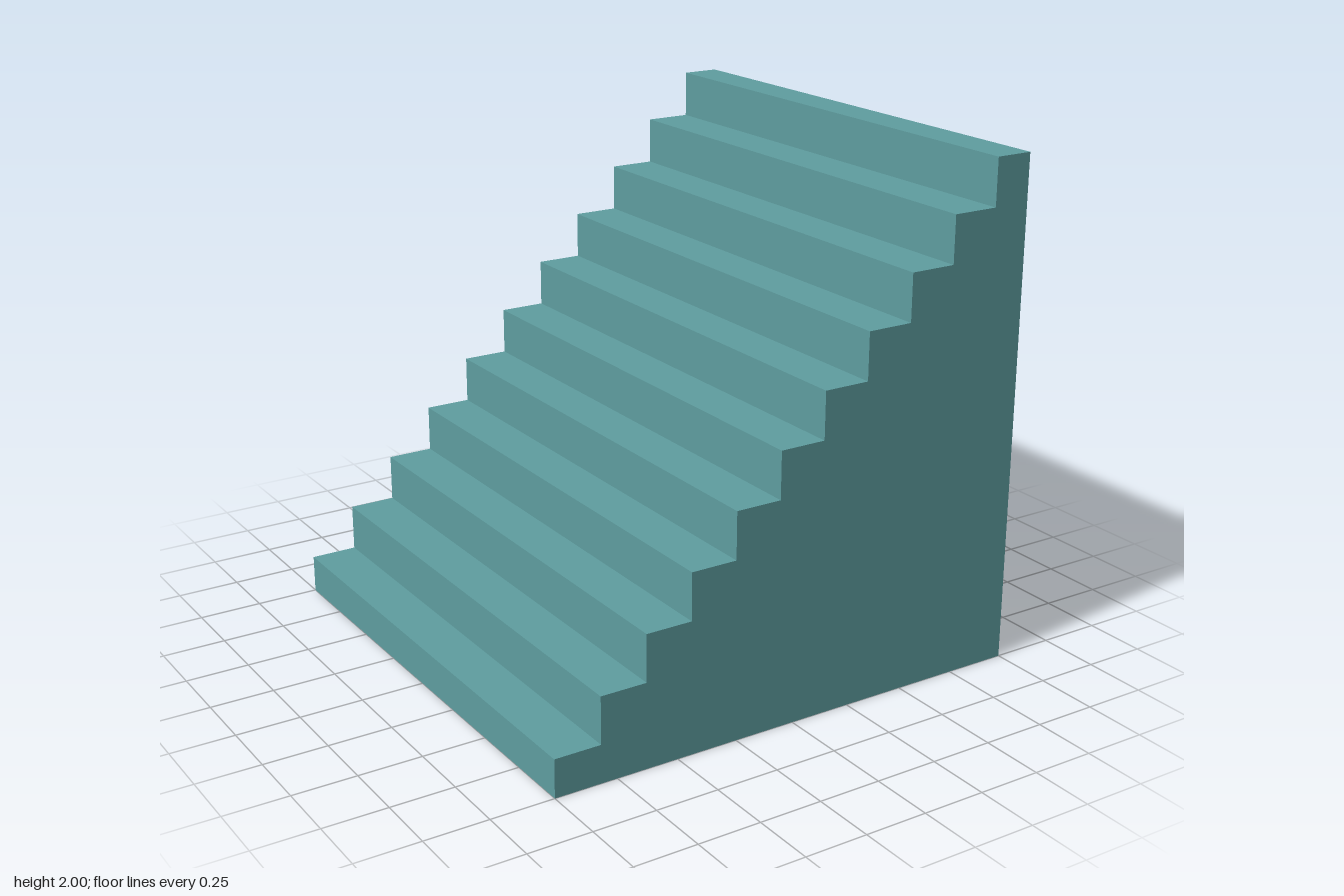
import * as THREE from 'three';

export function createModel() {
  const group = new THREE.Group();
  group.name = 'staircase';

  const steps = 11;
  const pitch = 0.185; // tread depth and riser height
  const first = 0.15;  // height of the lowest riser, depth of the top tread

  // Stepped side profile, rising towards +x
  const profile = new THREE.Shape();
  profile.moveTo(-1, 0);
  profile.lineTo(1, 0);
  profile.lineTo(1, 2);
  for (let i = steps - 1; i > 0; i--) {
    const x = -1 + i * pitch;
    profile.lineTo(x, first + i * pitch);
    profile.lineTo(x, first + (i - 1) * pitch);
  }
  profile.lineTo(-1, first);
  profile.closePath();

  // Solid flight of stairs, extruded across the full width
  const geometry = new THREE.ExtrudeGeometry(profile, { depth: 2, bevelEnabled: false });
  geometry.translate(0, 0, -1);
  const stairs = new THREE.Mesh(geometry, new THREE.MeshStandardMaterial({ color: 0x5f9ea0 }));
  stairs.name = 'solidStairs';
  group.add(stairs);

  return group;
}
